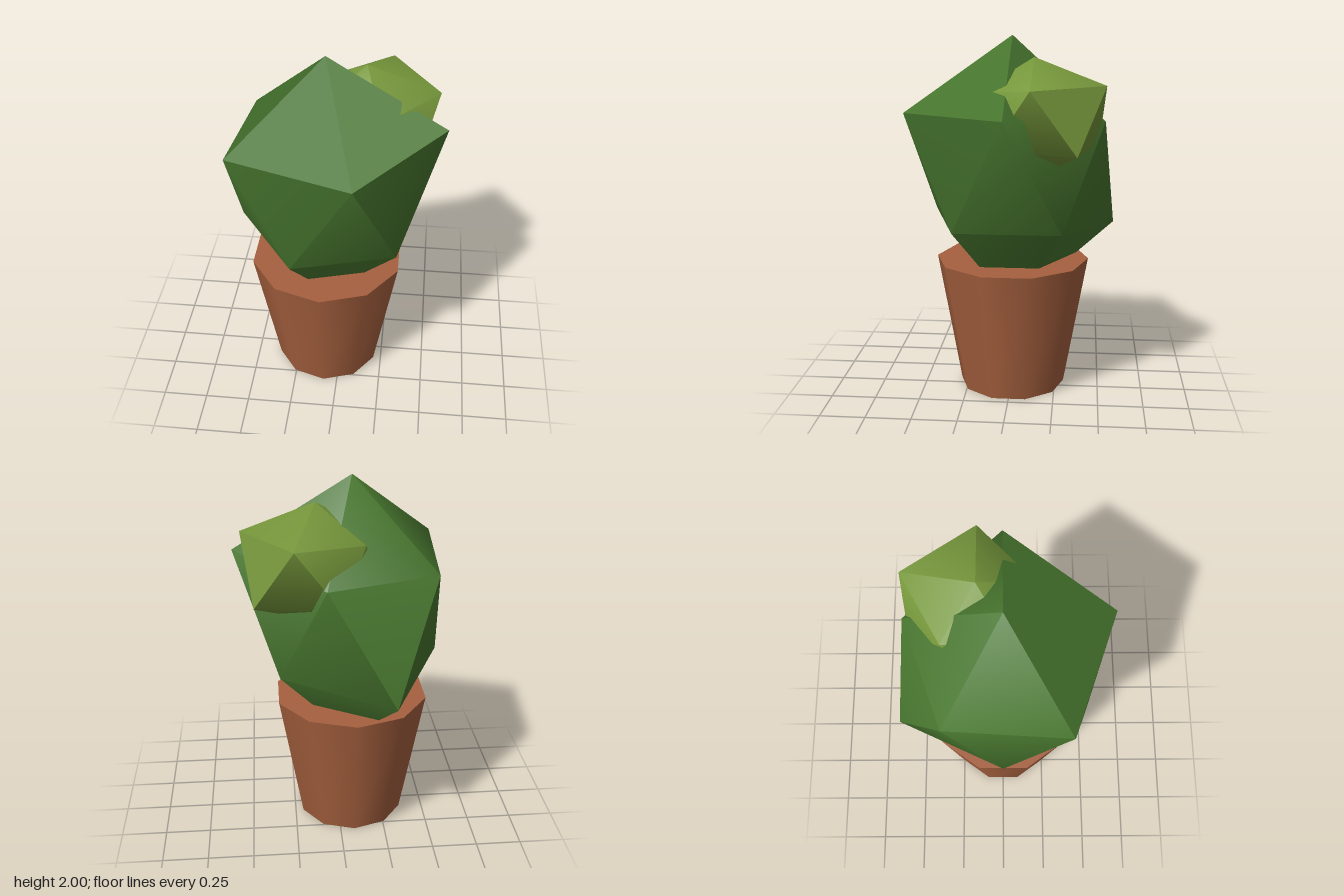
import * as THREE from 'three';
import { toCreasedNormals } from 'three/addons/utils/BufferGeometryUtils.js';

const CREASE = THREE.MathUtils.degToRad(46);

// Corners of an irregular twenty-sided lump: a pole, two rings of five and a lower pole.
// Each radius pushes its own corner in or out from the centre.
function lumpCorners(centre, stretchY, top, upper, lower, bottom) {
  const c = new THREE.Vector3(...centre);
  const ring = (radii, turn, height) => radii.map((r, i) => {
    const a = (i + turn) * Math.PI * 2 / 5;
    return new THREE.Vector3(
      c.x + Math.cos(a) * 0.894 * r,
      c.y + height * r * stretchY,
      c.z - Math.sin(a) * 0.894 * r
    );
  });
  return {
    top: new THREE.Vector3(c.x, c.y + top * stretchY, c.z),
    upper: ring(upper, 0, 0.447),
    lower: ring(lower, 0.5, -0.447),
    bottom: new THREE.Vector3(c.x, c.y - bottom * stretchY, c.z)
  };
}

function fromTriangles(points) {
  const geometry = new THREE.BufferGeometry().setFromPoints(points);
  geometry.computeVertexNormals();
  return geometry;
}

// Skin of a lump; crown faces listed in skip are left open.
function lumpGeometry({ top, upper, lower, bottom }, skip = []) {
  const points = [];
  for (let i = 0; i < 5; i++) {
    const n = (i + 1) % 5;
    if (!skip.includes(i)) points.push(top, upper[i], upper[n]);
    points.push(upper[i], lower[i], upper[n]);
    points.push(lower[i], lower[n], upper[n]);
    points.push(bottom, lower[n], lower[i]);
  }
  return toCreasedNormals(fromTriangles(points), CREASE);
}

// Slanted crown facet: two triangles shaded as one plane.
function facetGeometry(a, b, c, d) {
  const geometry = fromTriangles([a, b, c, a, c, d]);
  const normal = new THREE.Vector3().subVectors(c, a)
    .cross(new THREE.Vector3().subVectors(d, b)).normalize();
  const normals = geometry.attributes.normal;
  for (let i = 0; i < normals.count; i++) normals.setXYZ(i, normal.x, normal.y, normal.z);
  return geometry;
}

export function createModel() {
  const group = new THREE.Group();
  const material = (name, color) => {
    const m = new THREE.MeshStandardMaterial({ color });
    m.name = name;
    return m;
  };
  const terracotta = material('terracotta', 0xa5603e);
  const darkGreen = material('dark green', 0x48772f);
  const lightGreen = material('light green', 0x76973b);

  const add = (name, geometry, mat) => {
    const mesh = new THREE.Mesh(geometry, mat);
    mesh.name = name;
    group.add(mesh);
    return mesh;
  };

  // Tapered ten-sided pot, closed at the top
  add('pot', new THREE.CylinderGeometry(0.432, 0.3, 0.752, 10), terracotta)
    .position.set(-0.08, 0.376, 0);

  // Main plant body with its slanted front facet
  const body = lumpCorners([-0.08, 1.26, 0], 1.105, 0.67,
    [0.71, 0.6, 0.585, 0.656, 0.676], [0.555, 0.676, 0.531, 0.535, 0.555], 0.73);
  add('plantBody', lumpGeometry(body, [3, 4]), darkGreen);
  add('plantFrontFacet',
    facetGeometry(body.top, body.upper[3], body.upper[4], body.upper[0]), darkGreen);

  // Side bud sunk into the back left of the body
  const bud = lumpCorners([0.12, 1.59, -0.13], 0.848, 0.36,
    [0.431, 0.446, 0.335, 0.34, 0.34], [0.449, 0.41, 0.38, 0.38, 0.39], 0.4);
  add('bud', lumpGeometry(bud), lightGreen);

  return group;
}
